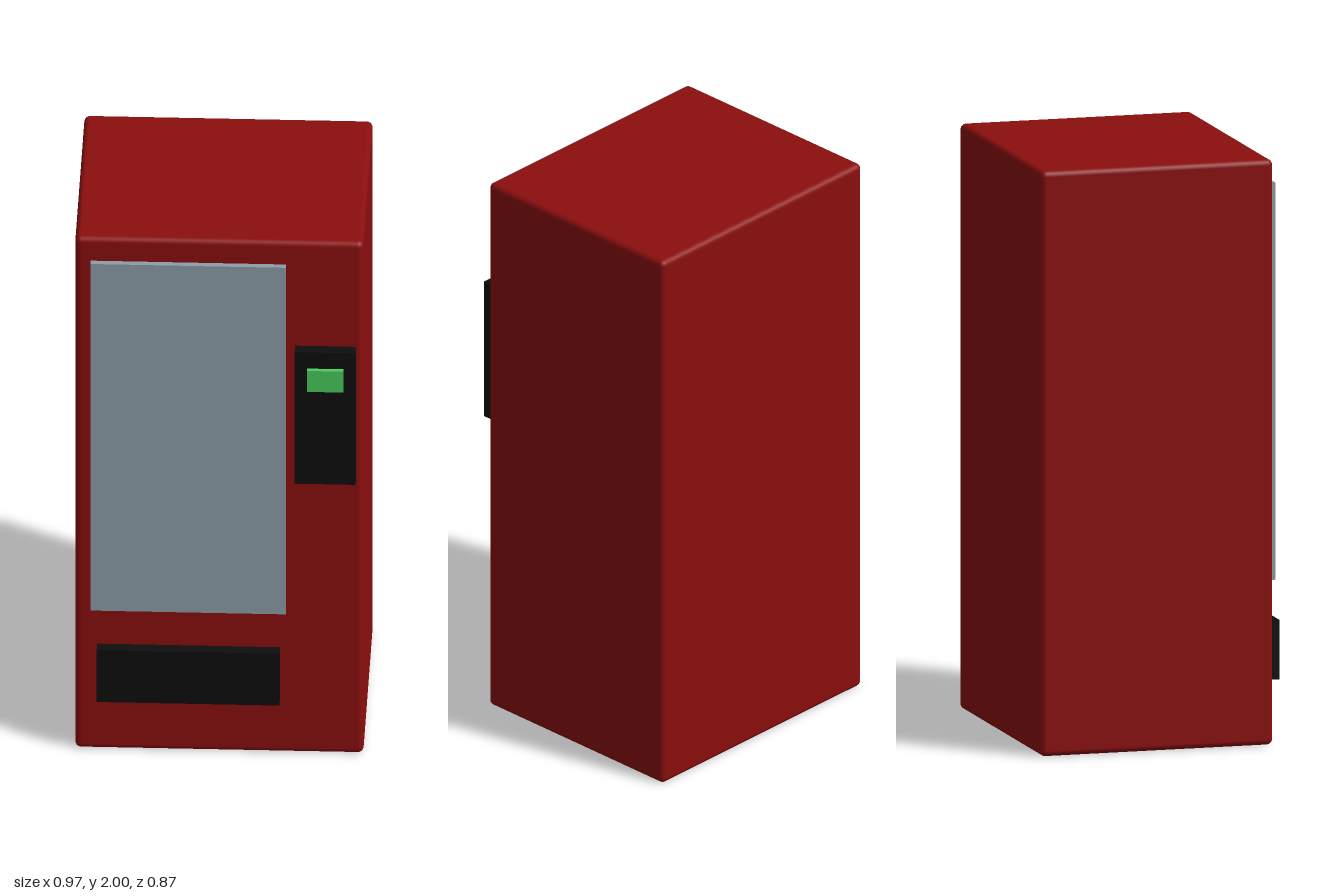
import * as THREE from 'three';
import { RoundedBoxGeometry } from 'three/addons/geometries/RoundedBoxGeometry.js';

const material = (name, color) => {
  const m = new THREE.MeshStandardMaterial({ color });
  m.name = name;
  return m;
};

export function createModel() {
  const red = material('cabinet red', 0x8c0e0e);
  const glass = material('window glass', 0x8d9fa9);
  const black = material('panel black', 0x0e0e0e);
  const green = material('display green', 0x4acd5c);

  const model = new THREE.Group();
  model.name = 'vendingMachine';

  // Places a box between two opposite corners, with rounded edges if asked
  function addBox(name, mat, [x0, y0, z0], [x1, y1, z1], radius = 0) {
    const size = [x1 - x0, y1 - y0, z1 - z0];
    const geometry = radius
      ? new RoundedBoxGeometry(...size, 3, radius)
      : new THREE.BoxGeometry(...size);
    const mesh = new THREE.Mesh(geometry, mat);
    mesh.name = name;
    mesh.position.set((x0 + x1) / 2, (y0 + y1) / 2, (z0 + z1) / 2);
    model.add(mesh);
  }

  // Cabinet with softened edges
  addBox('cabinet', red, [-0.485, 0, -0.437], [0.485, 2, 0.378], 0.02);

  // Raised front fittings, sunk slightly into the cabinet
  addBox('displayWindow', glass, [-0.433, 0.555, 0.36], [0.225, 1.912, 0.4]);
  addBox('deliveryFlap', black, [-0.411, 0.21, 0.36], [0.204, 0.413, 0.421]);
  addBox('paymentPanel', black, [0.255, 1.08, 0.36], [0.46, 1.595, 0.421]);
  addBox('paymentDisplay', green, [0.297, 1.45, 0.41], [0.42, 1.532, 0.437]);

  return model;
}
